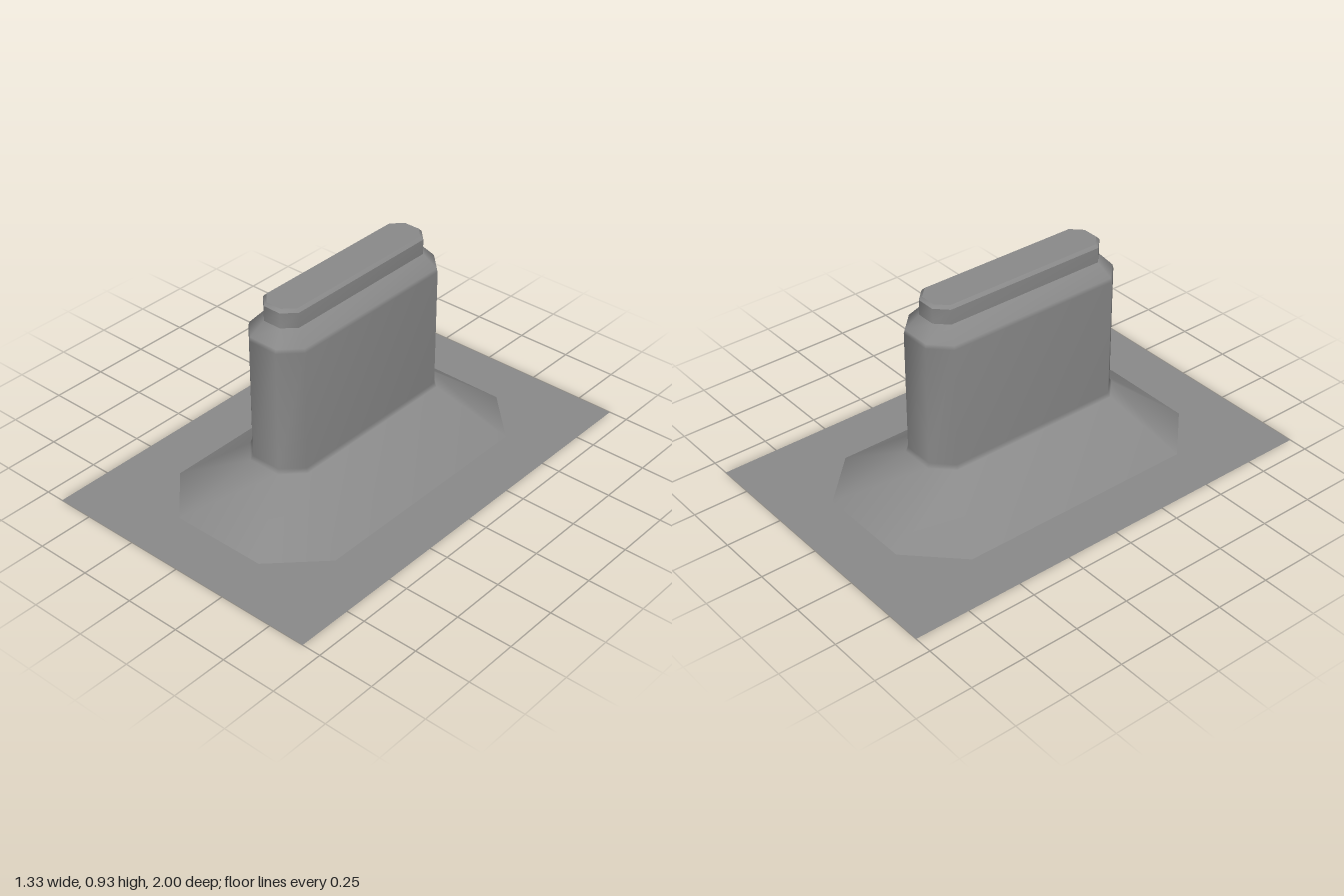
import * as THREE from 'three';

// Chamfered rectangle as [x, z] corners, counter-clockwise from above
function octagon(hx, hz, c) {
  const kx = hx - c, kz = hz - c;
  return [[hx, kz], [hx, -kz], [kx, -hz], [-kx, -hz], [-hx, -kz], [-hx, kz], [-kx, hz], [kx, hz]];
}

// Smooth skin through levels of [y, halfX, halfZ, chamfer]
function loft(levels) {
  const pos = [], index = [], n = 8;
  levels.forEach(([y, hx, hz, c], j) => {
    for (const [x, z] of octagon(hx, hz, c)) pos.push(x, y, z);
    if (j === 0) return;
    for (let i = 0; i < n; i++) {
      const a = (j - 1) * n + i, b = (j - 1) * n + (i + 1) % n;
      index.push(a, b, b + n, a, b + n, a + n);
    }
  });
  const geo = new THREE.BufferGeometry();
  geo.setAttribute('position', new THREE.Float32BufferAttribute(pos, 3));
  geo.setIndex(index);
  geo.computeVertexNormals();
  return geo;
}

// Flat horizontal sheet, facing up, from [x, z] outline and optional hole
function sheet(outline, y, hole) {
  const toPoints = (list) => list.map(([x, z]) => new THREE.Vector2(x, -z));
  const shape = new THREE.Shape(toPoints(outline));
  if (hole) shape.holes.push(new THREE.Path(toPoints(hole)));
  return new THREE.ShapeGeometry(shape).rotateX(-Math.PI / 2).translate(0, y, 0);
}

export function createModel() {
  const model = new THREE.Group();
  const grey = new THREE.MeshStandardMaterial({ color: 0x8a8a8a, side: THREE.DoubleSide });
  grey.name = 'grey';
  const add = (name, geo) => {
    const mesh = new THREE.Mesh(geo, grey);
    mesh.name = name;
    model.add(mesh);
  };

  // Base sheet, open beneath the hollow body
  const rect = [[0.665, 1], [0.665, -1], [-0.665, -1], [-0.665, 1]];
  add('basePlate', sheet(rect, 0, octagon(0.433, 0.766, 0.213)));

  // Flared skirt, upright body and sloped shoulder in one smooth skin
  add('body', loft([
    [0, 0.433, 0.766, 0.213],
    [0.21, 0.159, 0.493, 0.085],
    [0.23, 0.15, 0.484, 0.08],
    [0.775, 0.15, 0.484, 0.08],
    [0.793, 0.146, 0.48, 0.078],
    [0.853, 0.094, 0.427, 0.052],
  ]));

  // Neck, bevelled rim and lid, each with hard edges
  add('neck', loft([[0.853, 0.094, 0.427, 0.052], [0.92, 0.094, 0.427, 0.052]]));
  add('rim', loft([[0.92, 0.094, 0.427, 0.052], [0.933, 0.082, 0.415, 0.046]]));
  add('lid', sheet(octagon(0.082, 0.415, 0.046), 0.933));

  return model;
}
